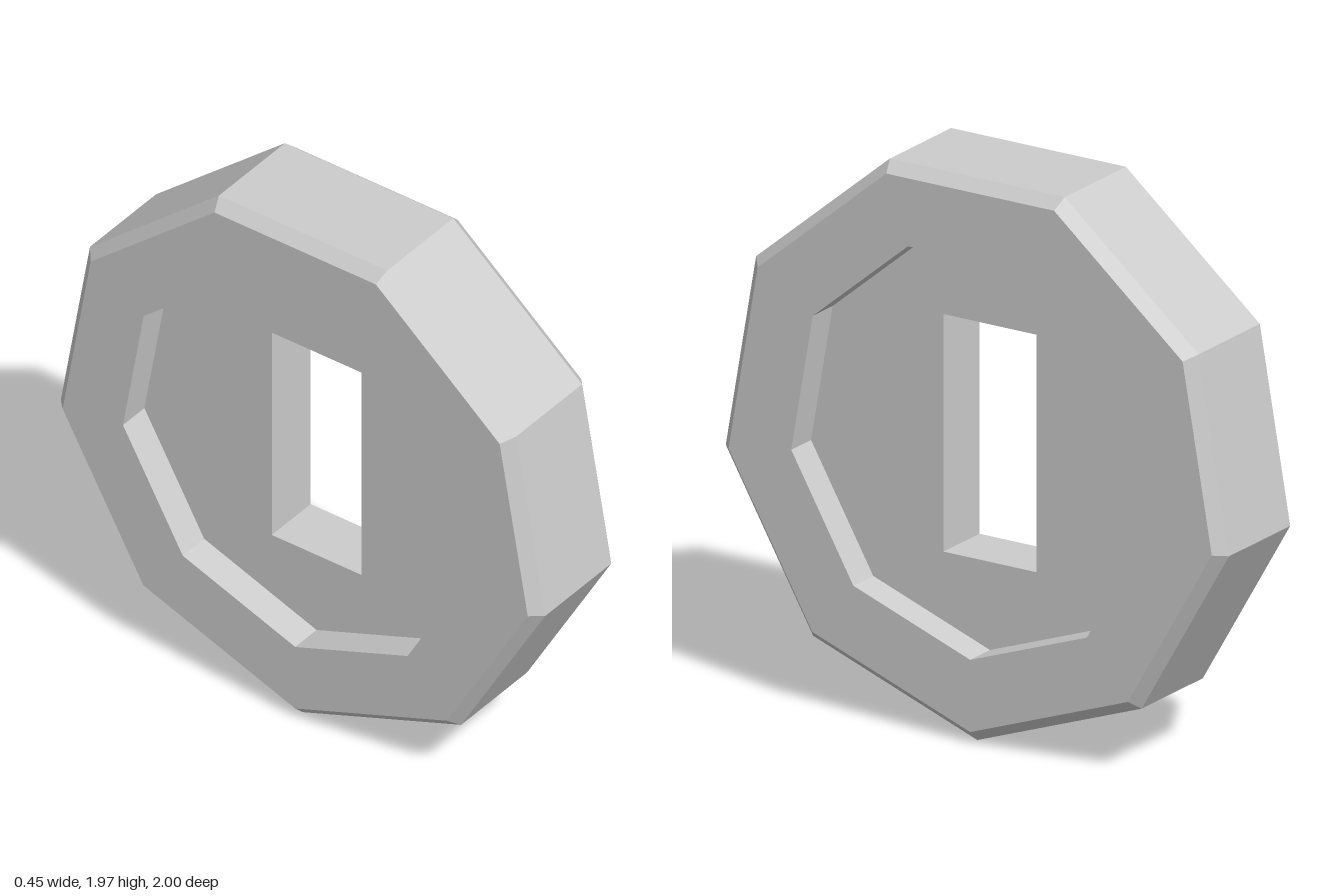
import * as THREE from 'three';

const SIDES = 9;
const R_OUT = 1.0154;    // nonagon corner radius, also the centre height
const R_FACE = 0.975;    // inside the chamfer
const R_RECESS = 0.722;  // recess on each face
const HALF = 0.225, HALF_TREAD = 0.182, HALF_WEB = 0.107;
const SLOT_HALF_W = 0.185, SLOT_BOTTOM = 0.602, SLOT_TOP = 1.434;

export function createModel() {
  const group = new THREE.Group();
  group.name = 'slottedNonagonDisc';
  const material = new THREE.MeshStandardMaterial({ color: 0xcccccc, flatShading: true });

  // Chamfered rim: closed cross-section turned in nine steps, axis laid along x
  const profile = [
    [R_RECESS, -HALF_WEB], [R_RECESS, -HALF], [R_FACE, -HALF], [R_OUT, -HALF_TREAD],
    [R_OUT, HALF_TREAD], [R_FACE, HALF], [R_RECESS, HALF], [R_RECESS, HALF_WEB],
  ].map(([r, x]) => new THREE.Vector2(r, x));
  const rimGeometry = new THREE.LatheGeometry(profile, SIDES, Math.PI / 2);
  rimGeometry.rotateZ(-Math.PI / 2);
  const rim = new THREE.Mesh(rimGeometry, material);
  rim.name = 'rim';
  rim.position.y = R_OUT;
  group.add(rim);

  // Recessed web with the rectangular slot, one corner pointing down
  const outline = Array.from({ length: SIDES }, (_, i) => {
    const a = -Math.PI / 2 + (i * 2 * Math.PI) / SIDES;
    return new THREE.Vector2(R_RECESS * Math.cos(a), R_OUT + R_RECESS * Math.sin(a));
  });
  const shape = new THREE.Shape(outline);
  shape.holes.push(new THREE.Path([
    new THREE.Vector2(-SLOT_HALF_W, SLOT_BOTTOM), new THREE.Vector2(-SLOT_HALF_W, SLOT_TOP),
    new THREE.Vector2(SLOT_HALF_W, SLOT_TOP), new THREE.Vector2(SLOT_HALF_W, SLOT_BOTTOM),
  ]));
  const webGeometry = new THREE.ExtrudeGeometry(shape, { depth: 2 * HALF_WEB, bevelEnabled: false });
  webGeometry.translate(0, 0, -HALF_WEB);
  webGeometry.rotateY(Math.PI / 2);
  const web = new THREE.Mesh(webGeometry, material);
  web.name = 'slottedWeb';
  group.add(web);

  return group;
}
